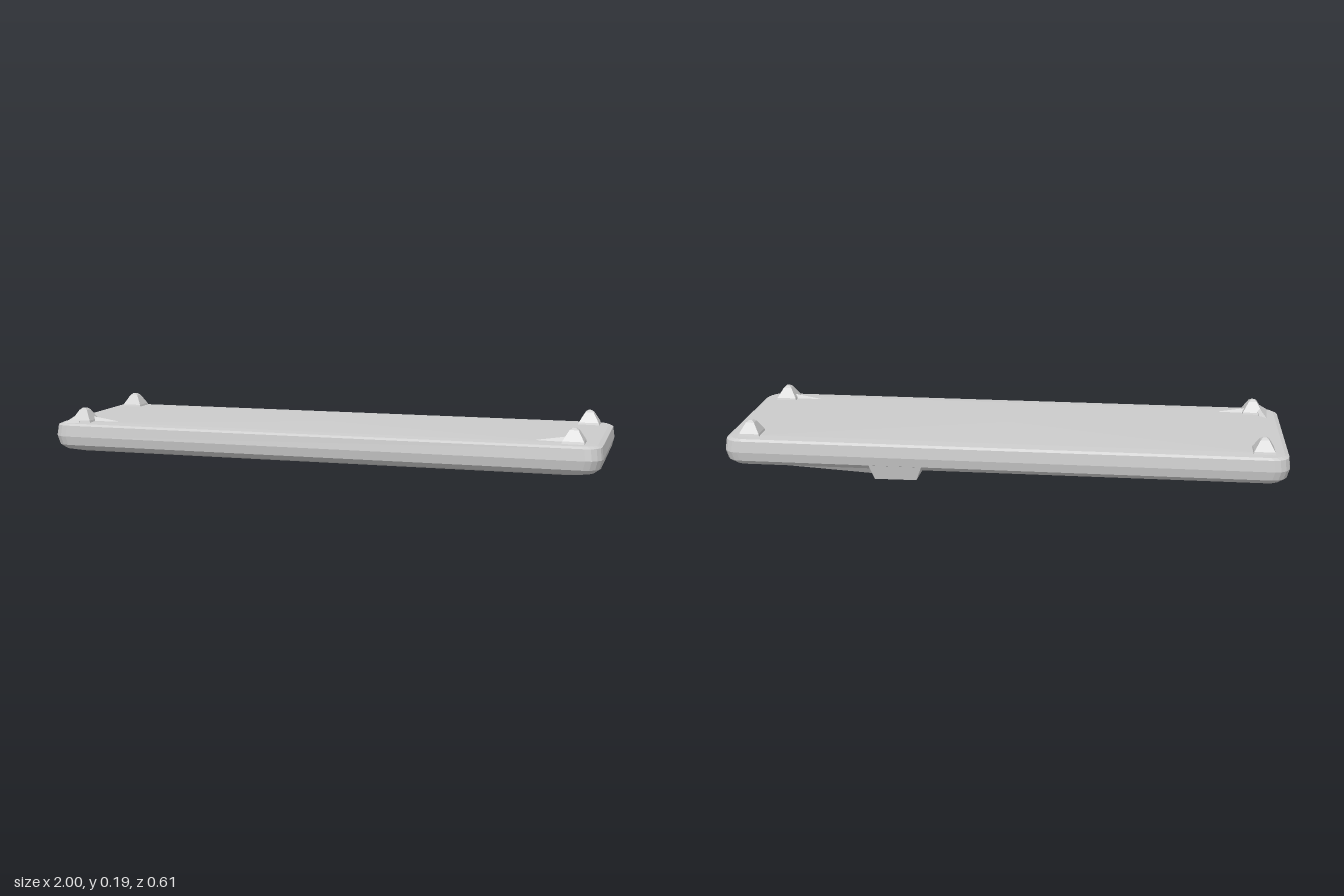
import * as THREE from 'three';
import { ConvexGeometry } from 'three/addons/geometries/ConvexGeometry.js';

const material = new THREE.MeshStandardMaterial({ color: 0xcccccc, flatShading: true });

function addMesh(group, name, geometry) {
  const mesh = new THREE.Mesh(geometry, material);
  mesh.name = name;
  group.add(mesh);
}

const hull = (points) => new ConvexGeometry(points.map((p) => new THREE.Vector3(...p)));

// Rounded-rectangle outline at height y, as a loop of points
function outline(halfX, halfZ, radius, y) {
  const steps = 4;
  const loop = [];
  for (let c = 0; c < 4; c++) {
    const sx = c === 0 || c === 3 ? 1 : -1;
    const sz = c < 2 ? 1 : -1;
    for (let i = 0; i <= steps; i++) {
      const a = (c + i / steps) * Math.PI / 2;
      loop.push([sx * (halfX - radius) + radius * Math.cos(a), y, sz * (halfZ - radius) + radius * Math.sin(a)]);
    }
  }
  return loop;
}

// Slab skinned over stacked outlines, closed by a fan at each end
function slabGeometry() {
  const sections = [
    // [half length, half depth, corner radius, y]
    [0.93, 0.25, 0.04, 0.027],
    [0.972, 0.285, 0.05, 0.037],
    [0.992, 0.3, 0.055, 0.053],
    [1.0, 0.306, 0.055, 0.085],
    [0.995, 0.301, 0.055, 0.125],
    [0.98, 0.292, 0.05, 0.132],
    [0.93, 0.25, 0.04, 0.135],
  ];
  const loops = sections.map((s) => outline(...s));
  const n = loops[0].length;
  const positions = loops.flat(2);
  const index = [];
  for (let r = 0; r < loops.length - 1; r++) {
    for (let i = 0; i < n; i++) {
      const a = r * n + i, b = r * n + (i + 1) % n;
      index.push(a, a + n, b, b, a + n, b + n);
    }
  }
  const bottom = positions.length / 3, top = bottom + 1, last = (loops.length - 1) * n;
  positions.push(0, 0.027, 0, 0, 0.138, 0);
  for (let i = 0; i < n; i++) {
    const j = (i + 1) % n;
    index.push(bottom, i, j, top, last + j, last + i);
  }
  const geometry = new THREE.BufferGeometry();
  geometry.setAttribute('position', new THREE.Float32BufferAttribute(positions, 3));
  geometry.setIndex(index);
  geometry.computeVertexNormals();
  return geometry;
}

// Four-sided foot tapering to a small blunt tip
function footGeometry(x, z) {
  const points = [];
  for (const [half, y] of [[0.041, 0.125], [0.036, 0.142], [0.015, 0.178], [0.006, 0.185]]) {
    for (const sx of [-1, 1]) for (const sz of [-1, 1]) points.push([x + sx * half, y, z + sz * half]);
  }
  return hull(points);
}

export function createModel() {
  const group = new THREE.Group();
  group.name = 'slab';
  addMesh(group, 'body', slabGeometry());

  // Corner feet
  const feet = [[-0.91, -0.227], [0.91, -0.227], [-0.9, 0.232], [0.9, 0.228]];
  for (const [x, z] of feet) {
    addMesh(group, 'foot', footGeometry(x, z));
  }

  // Fillets leaning against the front feet
  for (const side of [-1, 1]) {
    addMesh(group, 'footRib', hull([
      [side * 0.9, 0.128, 0.21], [side * 0.9, 0.128, 0.235],
      [side * 0.89, 0.155, 0.222], [side * 0.77, 0.136, 0.218],
    ]));
  }
  addMesh(group, 'cornerFillet', hull([
    [-0.965, 0.128, 0.285], [-0.9, 0.128, 0.285], [-0.955, 0.128, 0.15],
    [-0.925, 0.128, 0.17], [-0.91, 0.172, 0.235],
  ]));

  // Tab hanging below the back edge
  addMesh(group, 'tab', hull([
    [0.28, 0.03, -0.18], [0.47, 0.03, -0.18],
    [0.3, 0.006, -0.24], [0.45, 0.006, -0.24],
    [0.3, 0.001, -0.29], [0.45, 0, -0.29],
    [0.28, 0.055, -0.3], [0.47, 0.055, -0.3],
  ]));

  // Slim ramp running from the tab towards the end
  addMesh(group, 'tabRamp', hull([
    [0.44, 0.03, -0.2], [0.44, 0.013, -0.24], [0.44, 0.013, -0.27],
    [0.44, 0.045, -0.29], [0.88, 0.03, -0.24], [0.88, 0.034, -0.26],
  ]));

  return group;
}
